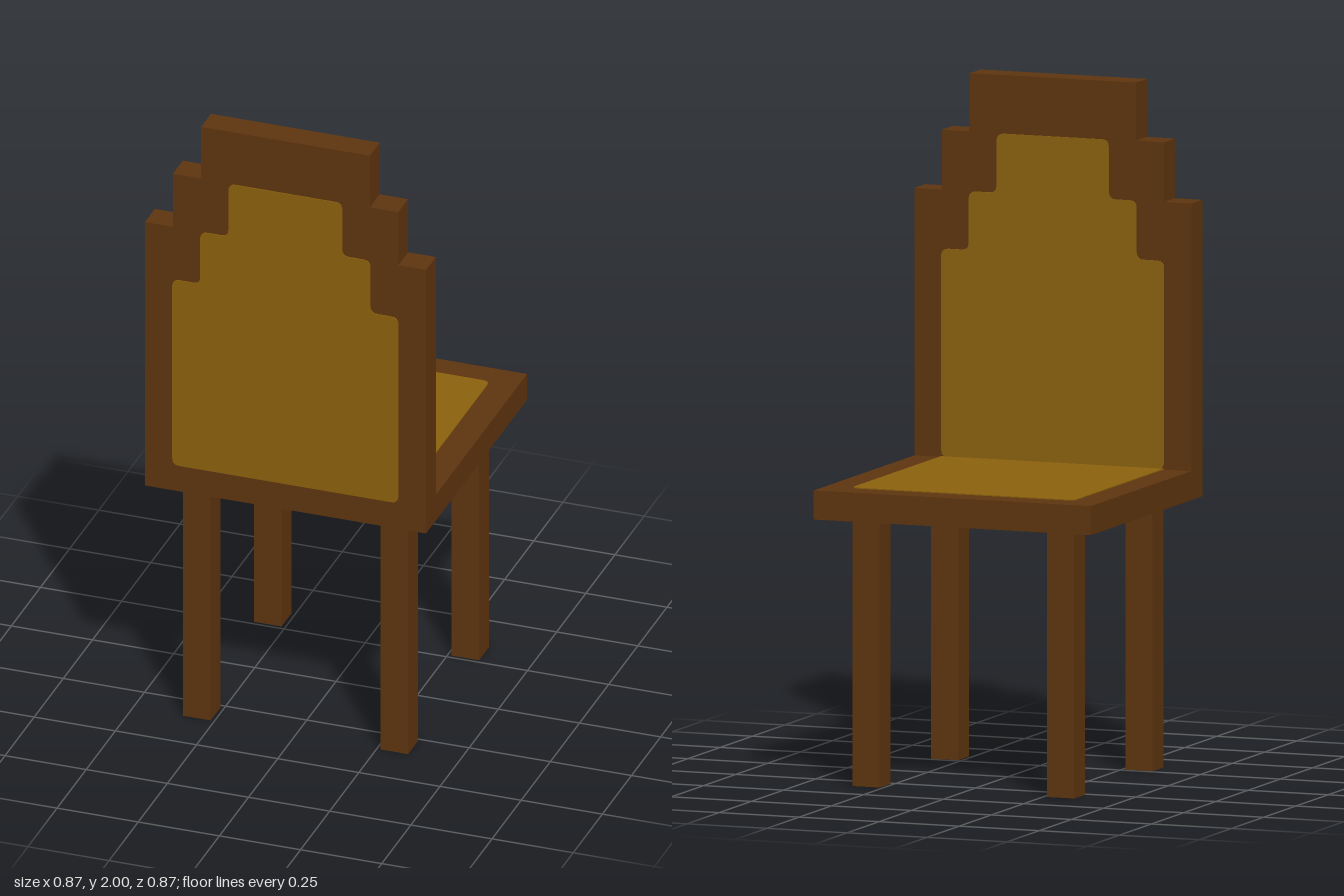
import * as THREE from 'three';

const H = 0.433;            // half width of the seat
const T = 0.085;            // board thickness
const SEAT_Y = 0.787;       // underside of the seat
const LIFT = 0.003;         // how far cushions stand proud of the wood

// Closed polygon whose corners are softened by radius r (0 keeps them sharp)
function softShape(points, r = 0) {
  const shape = new THREE.Shape();
  const pts = points.map(([x, y]) => new THREE.Vector2(x, y));
  if (!r) return shape.setFromPoints(pts);
  pts.forEach((p, i) => {
    const prev = pts[(i + pts.length - 1) % pts.length];
    const next = pts[(i + 1) % pts.length];
    const a = p.clone().add(prev.clone().sub(p).setLength(r));
    const b = p.clone().add(next.clone().sub(p).setLength(r));
    if (i === 0) shape.moveTo(a.x, a.y);
    else shape.lineTo(a.x, a.y);
    shape.quadraticCurveTo(p.x, p.y, b.x, b.y);
  });
  shape.closePath();
  return shape;
}

// Mirrors the right-hand outline (bottom to top) into a full outline
const mirrored = (half) => [...half, ...half.map(([x, y]) => [-x, y]).reverse()];

export function createModel() {
  const wood = new THREE.MeshStandardMaterial({ color: 0x5e340f });
  wood.name = 'dark wood';
  const fabric = new THREE.MeshStandardMaterial({ color: 0x8b610d });
  fabric.name = 'golden upholstery';

  const model = new THREE.Group();
  model.name = 'chair';
  const add = (name, geometry, material, x = 0, y = 0, z = 0) => {
    const mesh = new THREE.Mesh(geometry, material);
    mesh.name = name;
    mesh.position.set(x, y, z);
    model.add(mesh);
    return mesh;
  };
  const extrude = (shape, depth) =>
    new THREE.ExtrudeGeometry(shape, { depth, bevelEnabled: false, curveSegments: 4 });

  // Seat board, up to the backrest
  add('seat', new THREE.BoxGeometry(2 * H, T, 2 * H - T), wood, 0, SEAT_Y + T / 2, -T / 2);

  // Stepped backrest at +z
  const backOutline = mirrored([
    [H, SEAT_Y], [H, 1.655], [0.347, 1.655], [0.347, 1.83], [0.26, 1.83], [0.26, 2],
  ]);
  add('backrest', extrude(softShape(backOutline), T), wood, 0, 0, H - T);

  // Stepped upholstery on both faces of the backrest
  const panelOutline = mirrored([
    [0.348, 0.872], [0.348, 1.483], [0.262, 1.483], [0.262, 1.655], [0.175, 1.655], [0.175, 1.829],
  ]);
  const panel = extrude(softShape(panelOutline, 0.022), LIFT);
  add('backrestOuterPanel', panel, fabric, 0, 0, H);
  add('backrestInnerPanel', panel, fabric, 0, 0, H - T - LIFT);

  // Upholstery on the top and underside of the seat
  const cushionOutline = (back) => [[-0.348, -0.35], [0.348, -0.35], [0.348, back], [-0.348, back]];
  const top = add('seatTopPanel', extrude(softShape(cushionOutline(0.38), 0.022), LIFT), fabric, 0, SEAT_Y + T + LIFT, 0);
  top.rotation.x = Math.PI / 2;
  const under = add('seatUnderPanel', extrude(softShape(cushionOutline(0.348), 0.022), LIFT), fabric, 0, SEAT_Y, 0);
  under.rotation.x = Math.PI / 2;

  // Four square legs
  const leg = new THREE.BoxGeometry(T, SEAT_Y, T);
  for (const x of [-1, 1]) {
    for (const z of [-1, 1]) {
      add(`${z > 0 ? 'front' : 'back'}${x > 0 ? 'Left' : 'Right'}Leg`, leg, wood, x * 0.304, SEAT_Y / 2, z * 0.304);
    }
  }
  return model;
}
